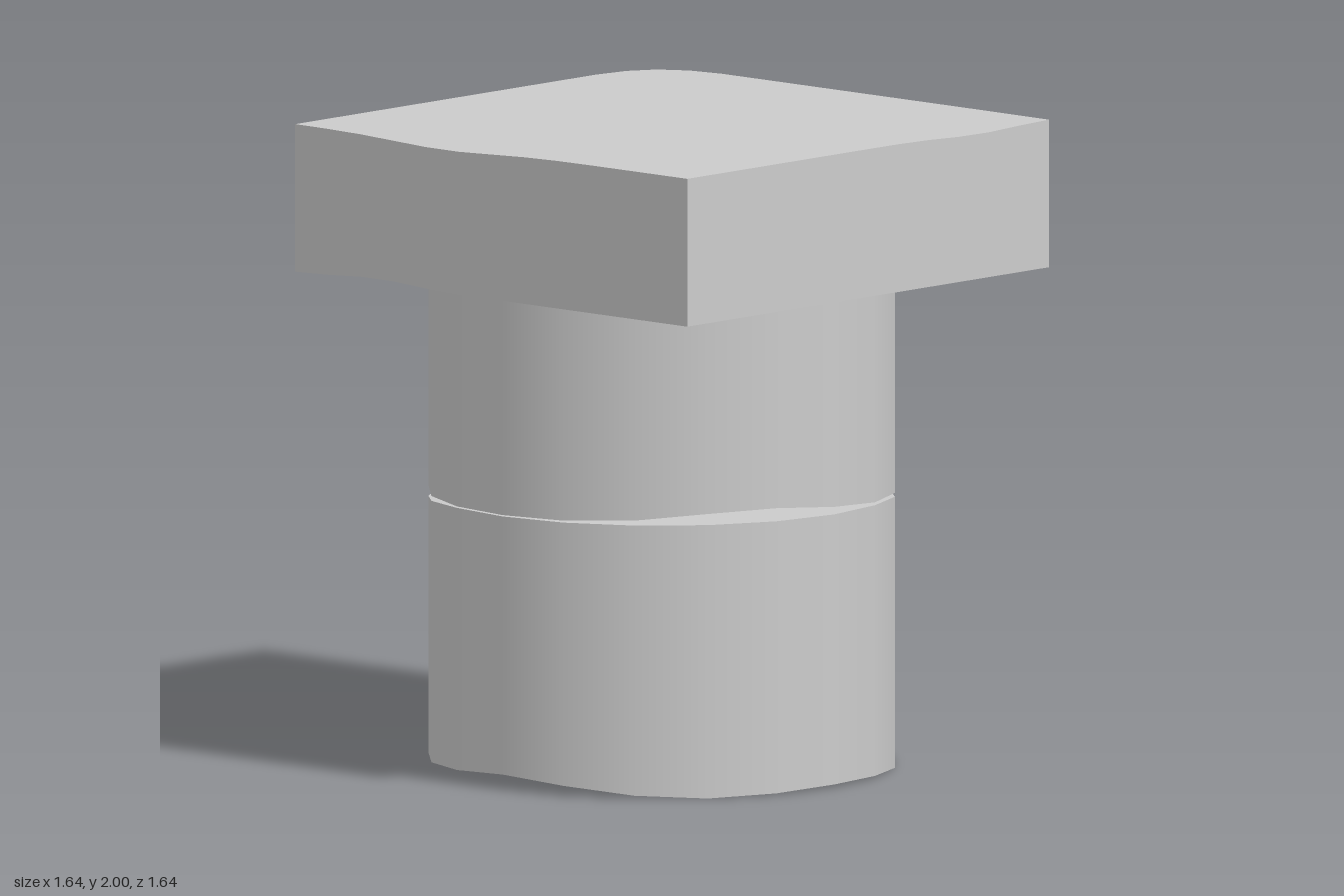
import * as THREE from 'three';

const CX = -0.025, CZ = 0.02, R = 0.722, SIDES = 20;
const material = new THREE.MeshStandardMaterial({ color: 0xcccccc, side: THREE.DoubleSide });

// Smooth local bump of height h centred on (x0, z0)
const bump = (x, z, x0, z0, w, h) => h * Math.exp(-((x - x0) ** 2 + (z - z0) ** 2) / (w * w));

// Worn rim heights of the drums, relative to the column axis
const footRim = (x, z) => 0.015 + bump(x, z, 0, R, 0.3, 0.035) + bump(x, z, -0.5, 0.5, 0.25, 0.012)
  - bump(x, z, 0.6, 0.4, 0.3, 0.013) - bump(x, z, 0.5, -0.5, 0.3, 0.015) + bump(x, z, 0, -R, 0.3, 0.01);
const lowerTop = (x, z) => 0.853 - bump(x, z, -0.58, 0.43, 0.22, 0.03) - bump(x, z, 0.4, -0.6, 0.22, 0.028);
const upperFoot = (x, z) => 0.857 + bump(x, z, 0.66, 0.28, 0.35, 0.038);
const upperTop = () => 1.55;

// Move every vertex vertically by the rule y = f(x, y, z)
function moveY(geometry, f) {
  const p = geometry.attributes.position;
  for (let i = 0; i < p.count; i++) p.setY(i, f(p.getX(i), p.getY(i), p.getZ(i)));
  return geometry;
}

function addMesh(group, name, geometry) {
  const mesh = new THREE.Mesh(geometry, material);
  mesh.name = name;
  group.add(mesh);
  return mesh;
}

// Smooth drum wall between two uneven rims
function drumWall(foot, top) {
  const g = new THREE.CylinderGeometry(R, R, 1, SIDES, 1, true);
  return moveY(g, (x, y, z) => (y > 0 ? top : foot)(x, z));
}

// Disc closing one uneven rim
function drumCap(rim, facing) {
  const g = new THREE.CircleGeometry(R, SIDES, Math.PI / 2).rotateX(-facing * Math.PI / 2);
  moveY(g, (x, y, z) => rim(x, z));
  g.computeVertexNormals();
  return g;
}

export function createModel() {
  const model = new THREE.Group();
  model.name = 'brokenColumn';

  // Two stacked drums, the lower one open underneath
  const shaft = new THREE.Group();
  shaft.name = 'shaft';
  shaft.position.set(CX, 0, CZ);
  addMesh(shaft, 'lowerDrum', drumWall(footRim, lowerTop));
  addMesh(shaft, 'lowerDrumTop', drumCap(lowerTop, 1));
  addMesh(shaft, 'upperDrum', drumWall(upperFoot, upperTop));
  addMesh(shaft, 'upperDrumUnderside', drumCap(upperFoot, -1));
  model.add(shaft);

  // Square slab with slightly chipped edges
  const slab = new THREE.BoxGeometry(1.64, 0.46, 1.64, 12, 1, 12);
  moveY(slab, (x, y, z) => y > 0
    ? 2 - bump(x, z, -0.2, 0.82, 0.28, 0.016) - bump(x, z, 0.82, -0.5, 0.2, 0.01)
      - bump(x, z, -0.82, -0.82, 0.12, 0.015)
    : 1.54 + bump(x, z, -0.48, 0.82, 0.2, 0.015));
  addMesh(model, 'capitalSlab', slab);

  return model;
}
